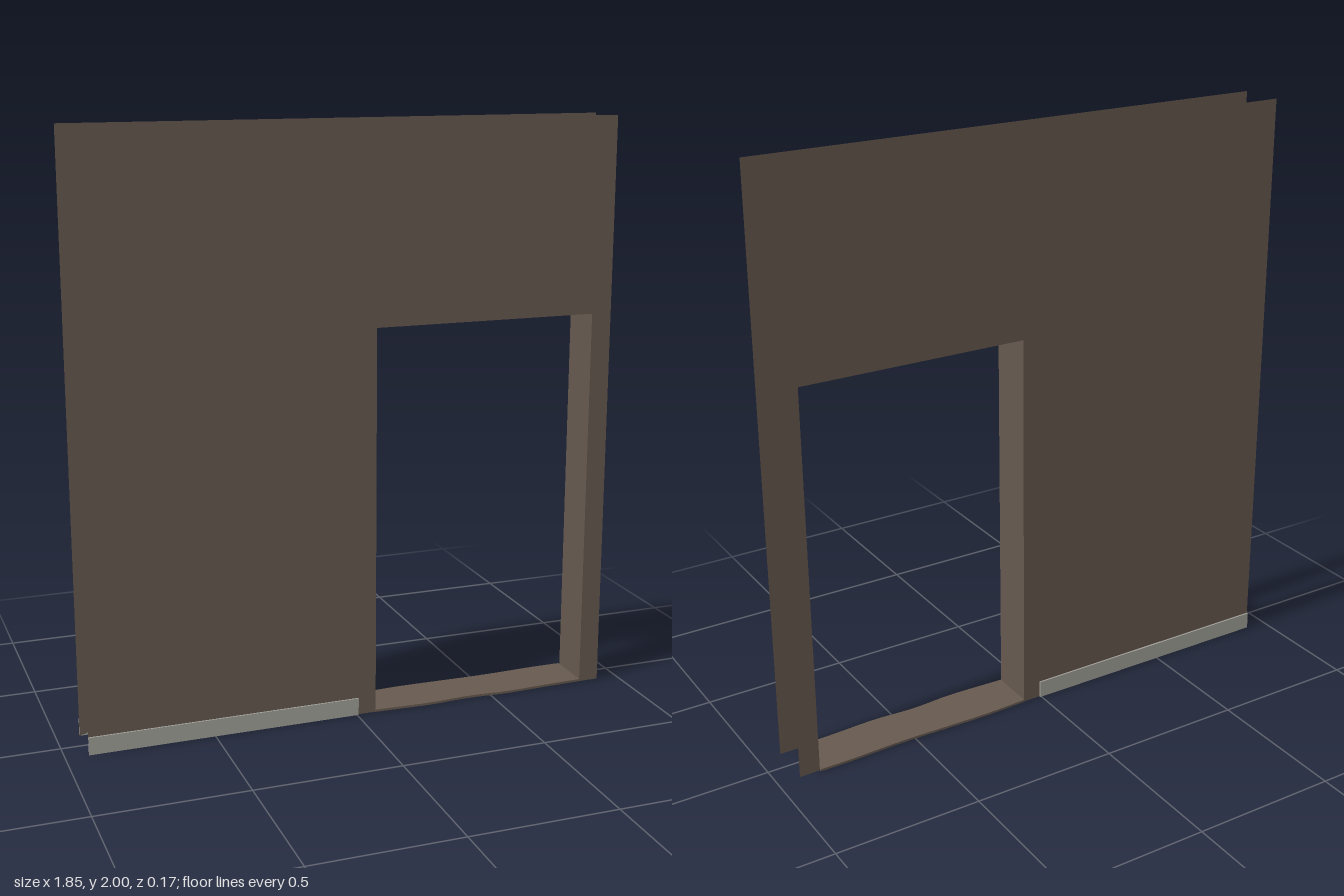
import * as THREE from 'three';

export function createModel() {
  const model = new THREE.Group();
  model.name = 'wallWithDoorway';

  const wallBrown = new THREE.MeshStandardMaterial({ color: 0x66594f, side: THREE.DoubleSide });
  wallBrown.name = 'wallBrown';
  const skirtingGrey = new THREE.MeshStandardMaterial({ color: 0xa1a199 });
  skirtingGrey.name = 'skirtingGrey';

  const HALF = 0.923, TOP = 2;               // wall sheet
  const L = 0.069, R = 0.852, DOOR = 1.336;  // doorway
  const FRONT = 0.075, BACK = -0.079;        // the two wall faces
  const DEPTH = FRONT - BACK, MID = (FRONT + BACK) / 2;
  const SKIRT = 0.006;

  const add = (name, geometry, material, x = 0, y = 0, z = 0) => {
    const mesh = new THREE.Mesh(geometry, material);
    mesh.name = name;
    mesh.position.set(x, y, z);
    model.add(mesh);
    return mesh;
  };

  // Wall sheet outline, running round the doorway
  const outline = new THREE.Shape([
    [-HALF, 0], [L, 0], [L, DOOR], [R, DOOR], [R, 0], [HALF, 0], [HALF, TOP], [-HALF, TOP],
  ].map(([x, y]) => new THREE.Vector2(x, y)));

  // Front and back walls, each with a skirting board beside the doorway
  for (const [side, z, out] of [['front', FRONT, 1], ['back', BACK, -1]]) {
    const wall = new THREE.ShapeGeometry(outline);
    if (out < 0) wall.rotateY(Math.PI).scale(-1, 1, 1);
    if (out < 0) {
      // turn the back sheet to face outward
      const index = wall.index.array;
      for (let i = 0; i < index.length; i += 3) [index[i], index[i + 1]] = [index[i + 1], index[i]];
      wall.computeVertexNormals();
    }
    add(side + 'Wall', wall, wallBrown, 0, 0, z);
    add(side + 'Skirting', new THREE.BoxGeometry(HALF + 0.005, 0.06, SKIRT), skirtingGrey,
      (0.005 - HALF) / 2, 0.03, z + out * SKIRT / 2);
  }

  // Door lining: two jambs and a lintel facing into the opening
  const jamb = new THREE.PlaneGeometry(DEPTH, DOOR);
  add('rightJamb', jamb, wallBrown, L, DOOR / 2, MID).rotation.y = Math.PI / 2;
  add('leftJamb', jamb, wallBrown, R, DOOR / 2, MID).rotation.y = -Math.PI / 2;
  add('lintel', new THREE.PlaneGeometry(R - L, DEPTH), wallBrown, (L + R) / 2, DOOR, MID)
    .rotation.x = Math.PI / 2;

  // Worn threshold with gently wavy long edges
  const edge = (points) => new THREE.SplineCurve(points.map(([x, z]) => new THREE.Vector2(x, -z))).getPoints(16);
  const threshold = new THREE.Shape([
    ...edge([[L, 0.077], [0.27, 0.085], [0.42, 0.077], [0.57, 0.085], [0.72, 0.079], [R, 0.076]]),
    ...edge([[R, -0.086], [0.74, -0.087], [0.55, -0.081], [0.38, -0.084], [0.22, -0.087], [L, -0.081]]),
  ]);
  add('threshold', new THREE.ExtrudeGeometry(threshold, { depth: 0.008, bevelEnabled: false }), wallBrown)
    .rotation.x = -Math.PI / 2;

  return model;
}
